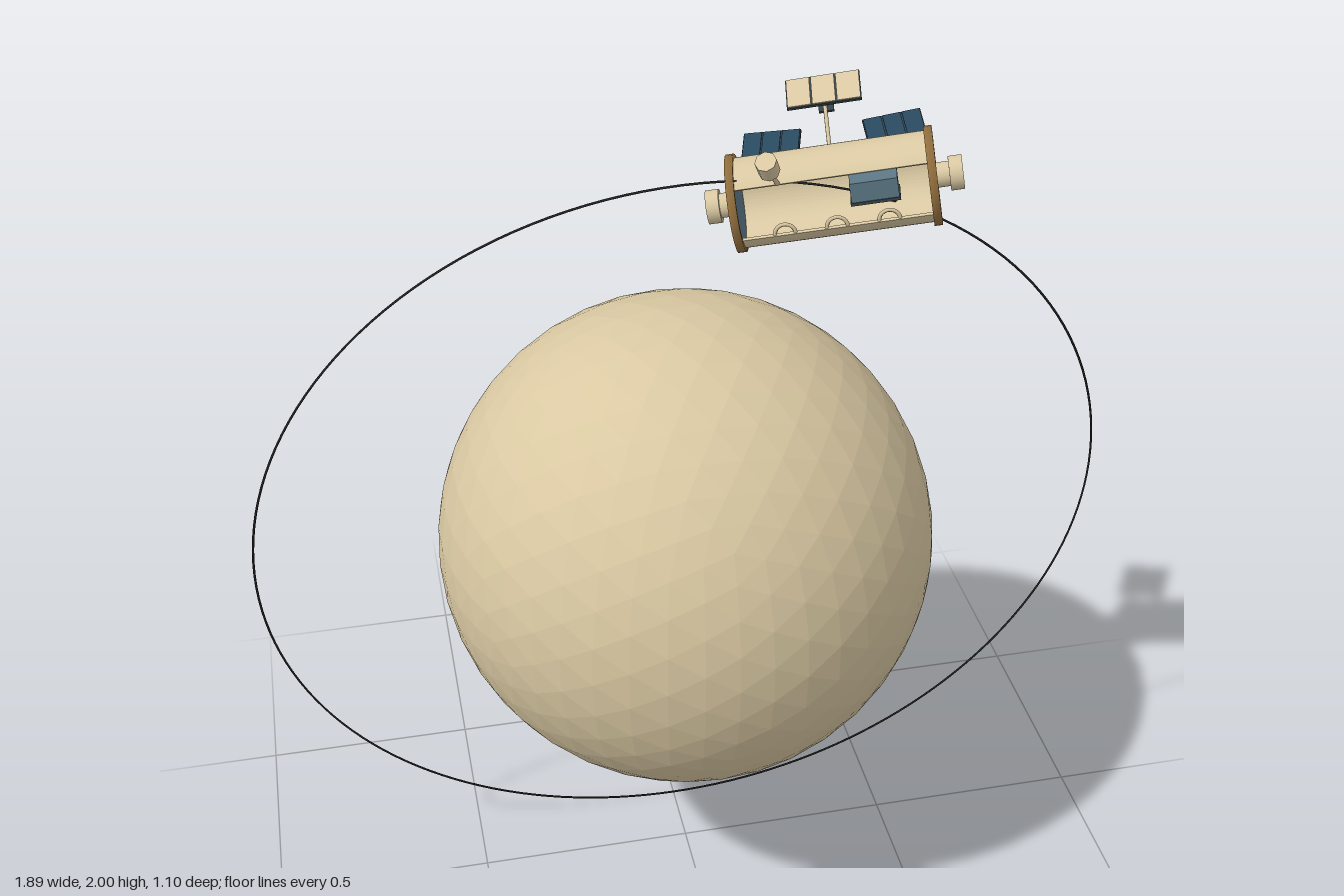
import * as THREE from 'three';

const mat = (name, color) => {
  const m = new THREE.MeshStandardMaterial({ color });
  m.name = name;
  return m;
};
const V = (x, y, z) => new THREE.Vector3(x, y, z);
const rad = THREE.MathUtils.degToRad;

export function createModel() {
  const beige = mat('beige', 0xd9c8a2);
  const slate = mat('slate blue', 0x5d7885);
  const brown = mat('brown trim', 0x94703f);
  const blue = mat('solar blue', 0x28485f);
  const dark = mat('dark grey', 0x36434a);
  const black = mat('orbit black', 0x222222);

  const model = new THREE.Group();
  model.name = 'satelliteOverPlanet';
  const add = (parent, name, geo, m) => {
    const mesh = new THREE.Mesh(geo, m);
    mesh.name = name;
    parent.add(mesh);
    return mesh;
  };
  // thin rod between two points
  const rod = (parent, name, a, b, r, m) => {
    const dir = b.clone().sub(a);
    const mesh = add(parent, name, new THREE.CylinderGeometry(r, r, dir.length(), 8), m);
    mesh.position.copy(a).add(b).multiplyScalar(0.5);
    mesh.quaternion.setFromUnitVectors(V(0, 1, 0), dir.normalize());
    return mesh;
  };

  // faceted planet
  const ball = new THREE.IcosahedronGeometry(0.548, 7);
  ball.computeVertexNormals();
  add(model, 'planet', ball, beige).position.y = 0.936;

  // tilted orbit line
  const orbit = add(model, 'orbit', new THREE.TorusGeometry(0.943, 0.0025, 6, 160), black);
  orbit.position.y = 0.936;
  orbit.rotation.x = rad(9.2);

  // satellite frame: x along the hull, y up, z towards the open side
  const sat = new THREE.Group();
  sat.name = 'satellite';
  sat.position.set(0.26, 1.828, 0.152);
  sat.rotation.set(0, rad(-15.1), rad(10.5), 'YXZ');
  model.add(sat);

  // hull shell with a lengthwise opening at the front
  const a0 = rad(210), a1 = rad(498);
  const ring = new THREE.Shape();
  ring.absarc(0, 0, 0.087, a0, a1, false);
  ring.absarc(0, 0, 0.081, a1, a0, true);
  const shell = new THREE.ExtrudeGeometry(ring, { depth: 0.37, bevelEnabled: false, curveSegments: 32 });
  shell.translate(0, 0, -0.185).rotateY(Math.PI / 2);
  add(sat, 'hull', shell, beige);

  // end caps with trim rims and docking ports
  for (const s of [-1, 1]) {
    const cap = new THREE.Group();
    cap.name = s < 0 ? 'rightEnd' : 'leftEnd';
    cap.rotation.z = -s * Math.PI / 2;
    cap.position.x = s * 0.19;
    sat.add(cap);
    add(cap, 'capPlate', new THREE.CylinderGeometry(0.087, 0.087, 0.012, 32), slate);
    const rim = [[0.085, -0.008], [0.095, -0.008], [0.095, 0.008], [0.085, 0.008], [0.085, -0.008]];
    add(cap, 'capRim', new THREE.LatheGeometry(rim.map(p => new THREE.Vector2(...p)), 32), brown);
    add(cap, 'portNeck', new THREE.CylinderGeometry(0.024, 0.024, 0.03, 20), beige).position.y = 0.018;
    add(cap, 'portFlange', new THREE.CylinderGeometry(0.033, 0.033, 0.026, 20), beige).position.y = 0.044;
  }

  // instrument box hung in the opening
  add(sat, 'instrumentBox', new THREE.BoxGeometry(0.09, 0.04, 0.05), slate).position.set(0.08, 0.036, 0.078);
  add(sat, 'instrumentBase', new THREE.BoxGeometry(0.094, 0.006, 0.054), dark).position.set(0.08, 0.014, 0.078);

  // handles along the lower lip
  for (const x of [-0.1, 0, 0.1]) {
    const handle = add(sat, 'handle', new THREE.TorusGeometry(0.02, 0.004, 6, 12, Math.PI), beige);
    handle.position.set(x, -0.043, 0.071);
  }

  // antenna on the upper lip
  rod(sat, 'antennaMast', V(-0.1, 0.058, 0.06), V(-0.107, 0.115, 0.115), 0.005, beige);
  rod(sat, 'antennaHead', V(-0.106, 0.108, 0.11), V(-0.108, 0.138, 0.13), 0.021, beige);

  // solar panel: backing plate, three front cells, rear stem and foot
  const panel = (name, root, pos, yaw, w, d, face) => {
    rod(sat, name + 'Arm', root, pos, 0.004, beige);
    const g = new THREE.Group();
    g.name = name;
    g.position.copy(pos);
    g.rotation.set(rad(25), rad(yaw), 0, 'YXZ');
    sat.add(g);
    add(g, 'panelBack', new THREE.BoxGeometry(w, 0.006, d), dark);
    for (const i of [-1, 0, 1]) {
      add(g, 'panelCell', new THREE.BoxGeometry(w / 3 - 0.003, 0.003, d - 0.003), face)
        .position.set(i * w / 3, 0.004, 0);
    }
    rod(g, 'panelStem', V(0, 0, 0), V(0, -0.045, 0), 0.004, dark);
    add(g, 'panelFoot', new THREE.BoxGeometry(0.03, 0.005, 0.03), dark).position.y = -0.045;
  };
  panel('topPanel', V(0, 0.06, -0.055), V(0, 0.147, -0.135), 0, 0.145, 0.072, beige);
  for (const s of [-1, 1]) {
    panel(s < 0 ? 'rightPanel' : 'leftPanel', V(s * 0.1, 0, -0.082), V(s * 0.128, 0.002, -0.186),
      s * 8, 0.118, 0.125, blue);
  }

  return model;
}
